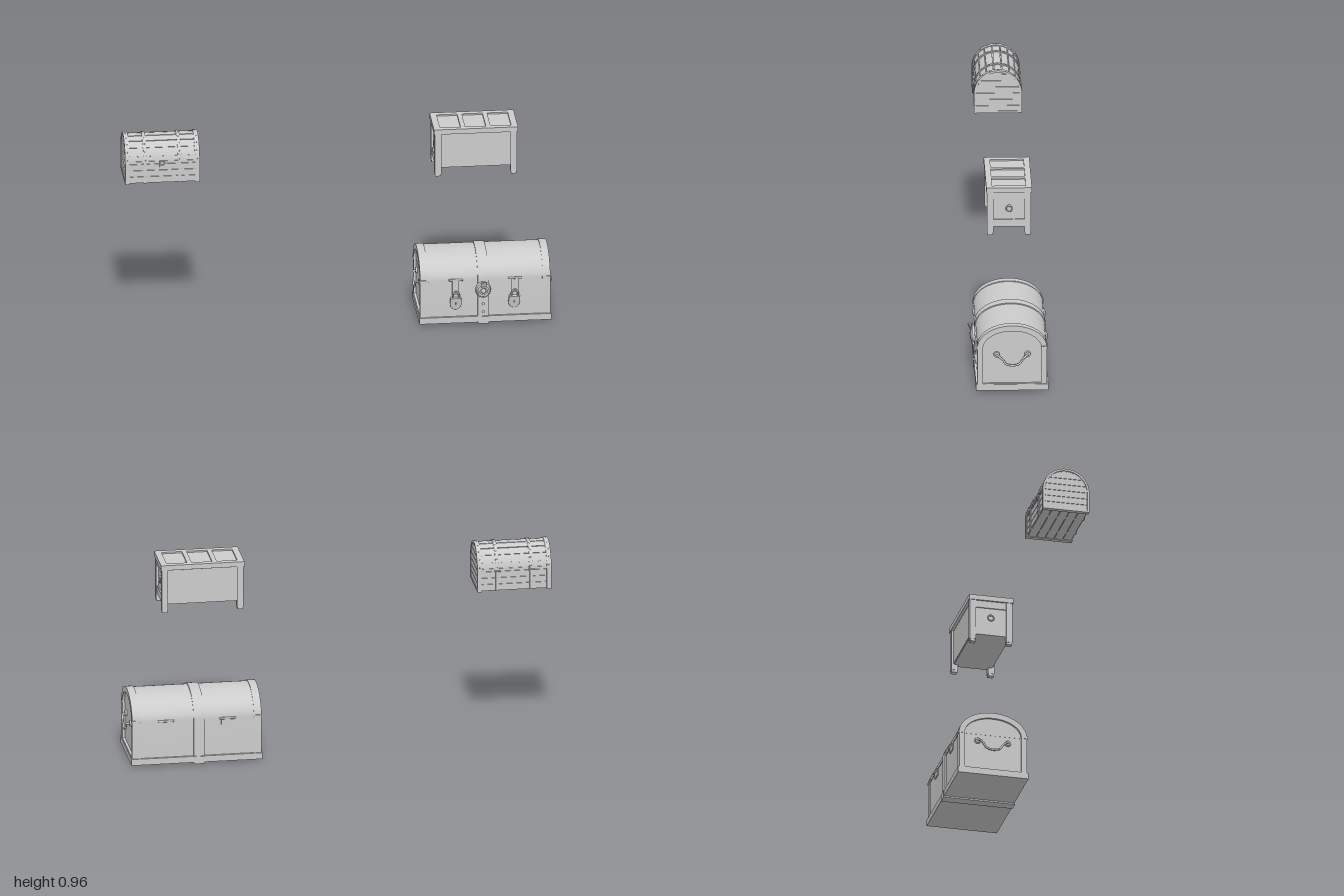
import * as THREE from 'three';
import { toCreasedNormals } from 'three/addons/utils/BufferGeometryUtils.js';

const mat = new THREE.MeshStandardMaterial({ color: 0xcccccc, roughness: 0.8 });

function add(parent, name, geo, x = 0, y = 0, z = 0) {
  const m = new THREE.Mesh(geo, mat);
  m.name = name;
  m.position.set(x, y, z);
  parent.add(m);
  return m;
}
const box = (p, name, w, h, d, x, y, z) => add(p, name, new THREE.BoxGeometry(w, h, d), x, y, z);

// Cross-section with straight sides and an elliptical top
function archPath(Type, half, y0, spring, rise, n = 32) {
  const s = new Type();
  s.moveTo(-half, y0);
  s.lineTo(half, y0);
  for (let i = 0; i <= n; i++) {
    const a = (i / n) * Math.PI;
    s.lineTo(half * Math.cos(a), spring + rise * Math.sin(a));
  }
  s.closePath();
  return s;
}
const arch = (...a) => archPath(THREE.Shape, ...a);
function archFrame(half, y0, spring, rise, t, tBottom) {
  const s = arch(half, y0, spring, rise);
  s.holes.push(archPath(THREE.Path, half - t, y0 + tBottom, spring, rise - t));
  return s;
}
// Extrude a z-y section along x, centred on x = 0
function alongX(shape, width) {
  const g = new THREE.ExtrudeGeometry(shape, { depth: width, bevelEnabled: false, curveSegments: 8 });
  g.translate(0, 0, -width / 2);
  g.rotateY(Math.PI / 2);
  return toCreasedNormals(g, 0.5);
}
const tube = (pts, r, n = 24) => new THREE.TubeGeometry(
  new THREE.CatmullRomCurve3(pts.map(p => new THREE.Vector3(...p))), n, r, 8);

// Large round-topped chest with straps and padlocks
function makeStrongbox() {
  const g = new THREE.Group();
  g.name = 'largeChest';
  g.position.set(0.677, 0, -0.012);
  box(g, 'basePlinth', 0.615, 0.03, 0.336, 0, 0.025, 0);
  add(g, 'body', alongX(arch(0.158, 0.03, 0.215, 0.108), 0.584));
  add(g, 'lid', alongX(arch(0.161, 0.218, 0.219, 0.107), 0.586));
  add(g, 'centreStrap', alongX(arch(0.165, 0.03, 0.22, 0.111), 0.05), -0.01);
  box(g, 'strapUnderside', 0.05, 0.036, 0.341, -0.01, 0.021, 0);
  for (const s of [-1, 1]) {
    // End frames, split at the lid line
    add(g, 'endFrame', alongX(archFrame(0.162, 0.04, 0.22, 0.11, 0.027, 0.003), 0.036), s * 0.286);
    for (const z of [-1, 1]) box(g, 'lidFrameFoot', 0.04, 0.012, 0.03, s * 0.286, 0.221, z * 0.15);
    // Sagging end handle
    const x = s * 0.298;
    add(g, 'endHandle', tube([
      [x, 0.185, 0.076], [x + s * 0.016, 0.181, 0.062], [x + s * 0.018, 0.168, 0.046], [x + s * 0.018, 0.146, 0.03],
      [x + s * 0.018, 0.138, 0.008], [x + s * 0.018, 0.138, -0.012], [x + s * 0.018, 0.146, -0.034],
      [x + s * 0.018, 0.168, -0.05], [x + s * 0.016, 0.181, -0.062], [x, 0.185, -0.076]], 0.005, 40));
    for (const z of [-0.072, 0.072]) {
      const boss = add(g, 'handlePlate', new THREE.CylinderGeometry(0.013, 0.015, 0.01, 16), x, 0.185, z);
      boss.rotation.z = -s * Math.PI / 2;
    }
    // Back hinges
    const hinge = add(g, 'backHinge', new THREE.CylinderGeometry(0.005, 0.005, 0.075, 10), s * 0.145, 0.219, -0.164);
    hinge.rotation.z = Math.PI / 2;
    box(g, 'hingeLeaf', 0.06, 0.03, 0.006, s * 0.145, 0.203, -0.16);
  }
  // Front hasps with hanging padlocks
  for (const [x, tilt] of [[-0.138, 0], [0.138, -0.06]]) {
    const pin = add(g, 'haspHinge', new THREE.CylinderGeometry(0.005, 0.005, 0.065, 10), x, 0.224, 0.164);
    pin.rotation.z = Math.PI / 2;
    box(g, 'hasp', 0.032, 0.07, 0.006, x, 0.188, 0.164);
    const lock = new THREE.Group();
    lock.name = 'padlock';
    lock.position.set(x, 0.167, 0.172);
    lock.rotation.set(-0.18, 0, tilt);
    lock.rotation.x = -0.18 + 0.36;
    g.add(lock);
    add(lock, 'shackle', tube([[-0.014, -0.035, 0], [-0.014, -0.012, 0], [0, 0.003, 0], [0.014, -0.012, 0], [0.014, -0.035, 0]], 0.004));
    const s = new THREE.Shape();
    s.moveTo(-0.023, -0.033);
    s.lineTo(-0.025, -0.062);
    s.quadraticCurveTo(-0.023, -0.087, 0, -0.089);
    s.quadraticCurveTo(0.023, -0.087, 0.025, -0.062);
    s.lineTo(0.023, -0.033);
    s.closePath();
    const hole = new THREE.Path();
    hole.absellipse(0, -0.06, 0.003, 0.009, 0, Math.PI * 2);
    s.holes.push(hole);
    add(lock, 'lockBody', toCreasedNormals(new THREE.ExtrudeGeometry(s,
      { depth: 0.01, bevelSize: 0.002, bevelThickness: 0.003, bevelSegments: 2 }), 0.5), 0, 0, -0.005);
  }
  // Round central clasp and its raised flap
  const disc = add(g, 'centreClasp', new THREE.CylinderGeometry(0.032, 0.036, 0.014, 24), -0.01, 0.172, 0.17);
  disc.rotation.x = Math.PI / 2;
  disc.scale.z = 1.15;
  add(g, 'claspRing', new THREE.TorusGeometry(0.022, 0.005, 8, 24), -0.01, 0.168, 0.18);
  add(g, 'claspStud', new THREE.SphereGeometry(0.011, 14, 10), -0.01, 0.17, 0.18);
  const flap = box(g, 'claspFlap', 0.026, 0.055, 0.004, -0.01, 0.194, 0.183);
  flap.rotation.x = 0.42;
  for (const y of [0.06, 0.1]) add(g, 'strapRivet', new THREE.SphereGeometry(0.006, 10, 8), -0.01, y, 0.166);
  return g;
}

// Panelled coffer on four legs
function makeCoffer() {
  const g = new THREE.Group();
  g.name = 'panelledChest';
  g.position.set(0.639, 0, -0.003);
  box(g, 'body', 0.362, 0.17, 0.18, 0, 0.85, 0);
  // Lid: frame with three recessed panels
  const lid = new THREE.Shape([[-0.196, -0.106], [0.196, -0.106], [0.196, 0.106], [-0.196, 0.106]].map(p => new THREE.Vector2(...p)));
  for (const x of [-0.118, 0, 0.118]) {
    lid.holes.push(new THREE.Path([[x - 0.048, -0.078], [x - 0.048, 0.078], [x + 0.048, 0.078], [x + 0.048, -0.078]].map(p => new THREE.Vector2(...p))));
  }
  const frame = new THREE.ExtrudeGeometry(lid, { depth: 0.024, bevelEnabled: false });
  frame.rotateX(-Math.PI / 2);
  add(g, 'lidFrame', frame, 0, 0.937, 0);
  box(g, 'lidPanels', 0.38, 0.015, 0.2, 0, 0.9465, 0);
  for (const sx of [-1, 1]) {
    for (const sz of [-1, 1]) {
      box(g, 'leg', 0.03, 0.2, 0.03, sx * 0.177, 0.837, sz * 0.087);
      box(g, 'foot', 0.026, 0.014, 0.026, sx * 0.177, 0.733, sz * 0.087);
    }
    // End rails and ring pull
    box(g, 'endTopRail', 0.01, 0.034, 0.15, sx * 0.182, 0.92, 0);
    box(g, 'endBottomRail', 0.01, 0.036, 0.15, sx * 0.182, 0.783, 0);
    const ring = add(g, 'ringPull', new THREE.TorusGeometry(0.014, 0.0028, 8, 24), sx * 0.186, 0.854, 0);
    ring.rotation.y = Math.PI / 2;
    add(g, 'ringStud', new THREE.SphereGeometry(0.006, 10, 8), sx * 0.185, 0.869, 0);
    // Front panels either side of a centre groove
    box(g, 'frontPanel', 0.162, 0.165, 0.008, sx * 0.082, 0.85, 0.09);
  }
  box(g, 'backPanel', 0.33, 0.165, 0.008, 0, 0.85, -0.09);
  return g;
}

// Small planked chest with a barrel lid
function makeBarrelChest() {
  const g = new THREE.Group();
  g.name = 'barrelChest';
  g.position.set(-0.825, 0, 0);
  const cy = 0.85, R = 0.107;
  add(g, 'core', alongX(arch(0.103, 0.757, cy, 0.103), 0.335));
  // Lid staves
  const n = 9;
  for (let i = 0; i < n; i++) {
    const a = (i / n) * Math.PI + 0.02, b = ((i + 1) / n) * Math.PI - 0.02;
    const s = new THREE.Shape();
    s.absarc(0, cy, R, a, b, false);
    s.absarc(0, cy, R - 0.008, b, a, true);
    add(g, 'lidStave', alongX(s, 0.338));
  }
  // Side, bottom and end boards
  for (let i = 0; i < 3; i++) {
    const y = 0.771 + i * 0.031;
    for (const s of [-1, 1]) box(g, 'sideBoard', 0.338, 0.028, 0.008, 0, y, s * 0.103);
  }
  for (let i = 0; i < 5; i++) box(g, 'bottomBoard', 0.338, 0.006, 0.039, 0, 0.756, (i - 2) * 0.042);
  const half = y => y < cy ? 0.1 : Math.sqrt(0.1 * 0.1 - (y - cy) ** 2);
  for (let i = 0; i < 6; i++) {
    const y0 = 0.757 + i * 0.031, y1 = y0 + 0.0285;
    const pts = [];
    for (let k = 0; k <= 4; k++) pts.push(new THREE.Vector2(half(y0 + (y1 - y0) * k / 4), y0 + (y1 - y0) * k / 4));
    for (let k = 4; k >= 0; k--) pts.push(new THREE.Vector2(-pts[k].x, pts[k].y));
    for (const s of [-1, 1]) add(g, 'endBoard', alongX(new THREE.Shape(pts), 0.006), s * 0.168);
  }
  // Iron bands: rims at the ends and two straps between
  for (const s of [-1, 1]) {
    add(g, 'endRim', alongX(archFrame(0.111, 0.75, cy, 0.111, 0.01, 0.01), 0.022), s * 0.163);
    add(g, 'strap', alongX(archFrame(0.111, 0.753, cy, 0.111, 0.01, 0.01), 0.016), s * 0.08);
    const hinge = add(g, 'hinge', new THREE.CylinderGeometry(0.004, 0.004, 0.026, 8), s * 0.08, cy, -0.111);
    hinge.rotation.z = Math.PI / 2;
    for (const x of [0.163, 0.08]) for (let k = 0; k < 9; k++) {
      const a = (k + 0.5) / 9 * Math.PI;
      add(g, 'rivet', new THREE.SphereGeometry(0.0028, 6, 4), s * x, cy + 0.111 * Math.sin(a) - 0.001, 0.111 * Math.cos(a));
    }
  }
  // Lid seam strip and lock
  for (const s of [-1, 1]) box(g, 'seamBand', 0.338, 0.01, 0.006, 0, cy + 0.007, s * 0.106);
  box(g, 'lockPlate', 0.026, 0.03, 0.006, 0, cy - 0.002, 0.109);
  add(g, 'lockRing', new THREE.TorusGeometry(0.009, 0.0022, 8, 18), 0, cy + 0.002, 0.112);
  return g;
}

export function createModel() {
  const group = new THREE.Group();
  group.name = 'threeChests';
  group.add(makeStrongbox(), makeCoffer(), makeBarrelChest());
  return group;
}
